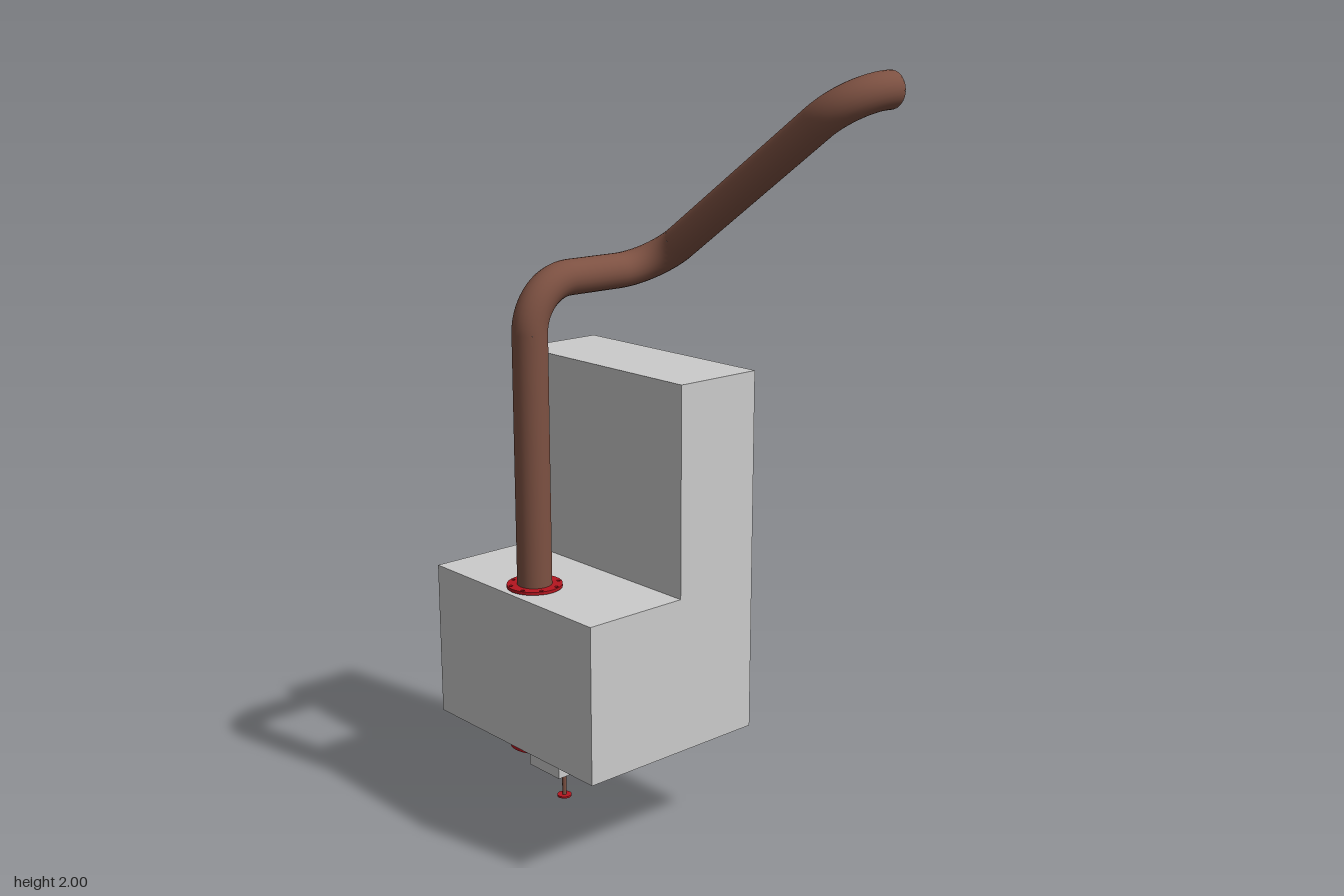
import * as THREE from 'three';

const grey = new THREE.MeshStandardMaterial({ color: 0xcccccc });
const brown = new THREE.MeshStandardMaterial({ color: 0x7d5142 });
const red = new THREE.MeshStandardMaterial({ color: 0xb5161f });
const green = new THREE.MeshStandardMaterial({ color: 0x1f8a2c });

const PIPE_R = 0.045, BEND = 0.125;
const PIPE_X = -0.2, PIPE_Z = 0.234;

// Quarter-circle bend around a corner between two perpendicular runs
class Elbow extends THREE.Curve {
  constructor(corner, dirIn, dirOut) {
    super();
    Object.assign(this, { corner, dirIn, dirOut });
  }
  getPoint(t, target = new THREE.Vector3()) {
    const a = t * Math.PI / 2;
    return target.copy(this.corner)
      .addScaledVector(this.dirIn, BEND * (Math.sin(a) - 1))
      .addScaledVector(this.dirOut, BEND * (1 - Math.cos(a)));
  }
}

function mesh(name, geometry, material, x = 0, y = 0, z = 0) {
  const m = new THREE.Mesh(geometry, material);
  m.name = name;
  m.position.set(x, y, z);
  return m;
}

// Box given by its lower and upper limits
function block(name, [x0, y0, z0], [x1, y1, z1]) {
  return mesh(name, new THREE.BoxGeometry(x1 - x0, y1 - y0, z1 - z0), grey,
    (x0 + x1) / 2, (y0 + y1) / 2, (z0 + z1) / 2);
}

// Flat ring lying in xz, rising from y = 0, with optional bolt holes
function ring(outer, inner, height, bolts = 0) {
  const shape = new THREE.Shape().absarc(0, 0, outer, 0, Math.PI * 2);
  const hole = (x, y, r) => shape.holes.push(new THREE.Path().absarc(x, y, r, 0, Math.PI * 2, true));
  hole(0, 0, inner);
  for (let i = 0; i < bolts; i++) {
    const a = (i + 0.5) / bolts * Math.PI * 2;
    hole(Math.cos(a) * outer * 0.88, Math.sin(a) * outer * 0.88, outer * 0.07);
  }
  return new THREE.ExtrudeGeometry(shape, { depth: height, bevelEnabled: false, curveSegments: 16 })
    .rotateX(-Math.PI / 2);
}

// Bolted plate with a thinner raised face below it
function flange(name, scale = 1) {
  const g = new THREE.Group();
  g.name = name;
  g.add(mesh('flangePlate', ring(0.0716, 0.041, 0.008, 8), red, 0, 0.005, 0));
  g.add(mesh('flangeFace', ring(0.055, 0.041, 0.005), red));
  g.scale.setScalar(scale);
  return g;
}

function bentPipe() {
  const g = new THREE.Group();
  g.name = 'bentPipe';
  const pts = [
    [PIPE_X, 0.706, PIPE_Z], [PIPE_X, 1.49, PIPE_Z], [PIPE_X, 1.49, -0.174],
    [0.467, 1.955, -0.174], [0.467, 1.955, -0.301],
  ].map(p => new THREE.Vector3(...p));
  let start = pts[0];
  for (let i = 1; i < pts.length; i++) {
    const dirIn = pts[i].clone().sub(pts[i - 1]).normalize();
    const last = i === pts.length - 1;
    const end = last ? pts[i] : pts[i].clone().addScaledVector(dirIn, -BEND);
    const run = new THREE.TubeGeometry(new THREE.LineCurve3(start, end), 1, PIPE_R, 24);
    g.add(mesh('pipeRun', run, brown));
    if (last) break;
    const dirOut = pts[i + 1].clone().sub(pts[i]).normalize();
    const bend = new THREE.TubeGeometry(new Elbow(pts[i], dirIn, dirOut), 14, PIPE_R, 24);
    g.add(mesh('pipeElbow', bend, brown));
    start = pts[i].clone().addScaledVector(dirOut, BEND);
  }
  // Closed end facing backwards
  const e = pts[pts.length - 1];
  g.add(mesh('pipeEnd', new THREE.CircleGeometry(PIPE_R, 24).rotateY(Math.PI), brown, e.x, e.y, e.z));
  g.add(mesh('pipeEndMarker', new THREE.ConeGeometry(0.005, 0.012, 8).rotateX(-Math.PI / 2),
    green, e.x, e.y, e.z - 0.006));
  return g;
}

export function createModel() {
  const model = new THREE.Group();
  model.name = 'pipedUnit';

  // Stepped housing, one solid side profile across the width
  const profile = [[-0.234, 0.29], [0.312, 0.29], [0.312, 0.705], [0.017, 0.705], [0.017, 1.255], [-0.234, 1.255]];
  const side = new THREE.Shape(profile.map(([z, y]) => new THREE.Vector2(-z, y)));
  const housing = new THREE.ExtrudeGeometry(side, { depth: 0.63, bevelEnabled: false }).rotateY(Math.PI / 2);
  model.add(mesh('housing', housing, grey, -0.516));

  // Small box below the housing with its drain
  model.add(block('lowerBox', [-0.441, 0.081, -0.025], [-0.312, 0.29, 0.077]));
  const drain = new THREE.Group();
  drain.name = 'drain';
  drain.add(mesh('drainPipe', new THREE.CylinderGeometry(0.006, 0.006, 0.079, 16), brown, 0, 0.0415, 0));
  drain.add(mesh('drainFlange', new THREE.CylinderGeometry(0.02, 0.02, 0.005, 24), red, 0, 0.0025, 0));
  drain.position.set(-0.352, 0, 0.026);
  model.add(drain);

  // Flanges above and below the front of the housing
  const upper = flange('upperFlange');
  upper.position.set(PIPE_X, 0.705, PIPE_Z);
  const lower = flange('lowerFlange');
  lower.rotation.x = Math.PI;
  lower.position.set(PIPE_X, 0.29, PIPE_Z);
  model.add(upper, lower);
  model.add(mesh('lowerMarker', new THREE.ConeGeometry(0.005, 0.012, 8).rotateX(Math.PI),
    green, PIPE_X, 0.284, PIPE_Z));

  model.add(bentPipe());
  return model;
}
